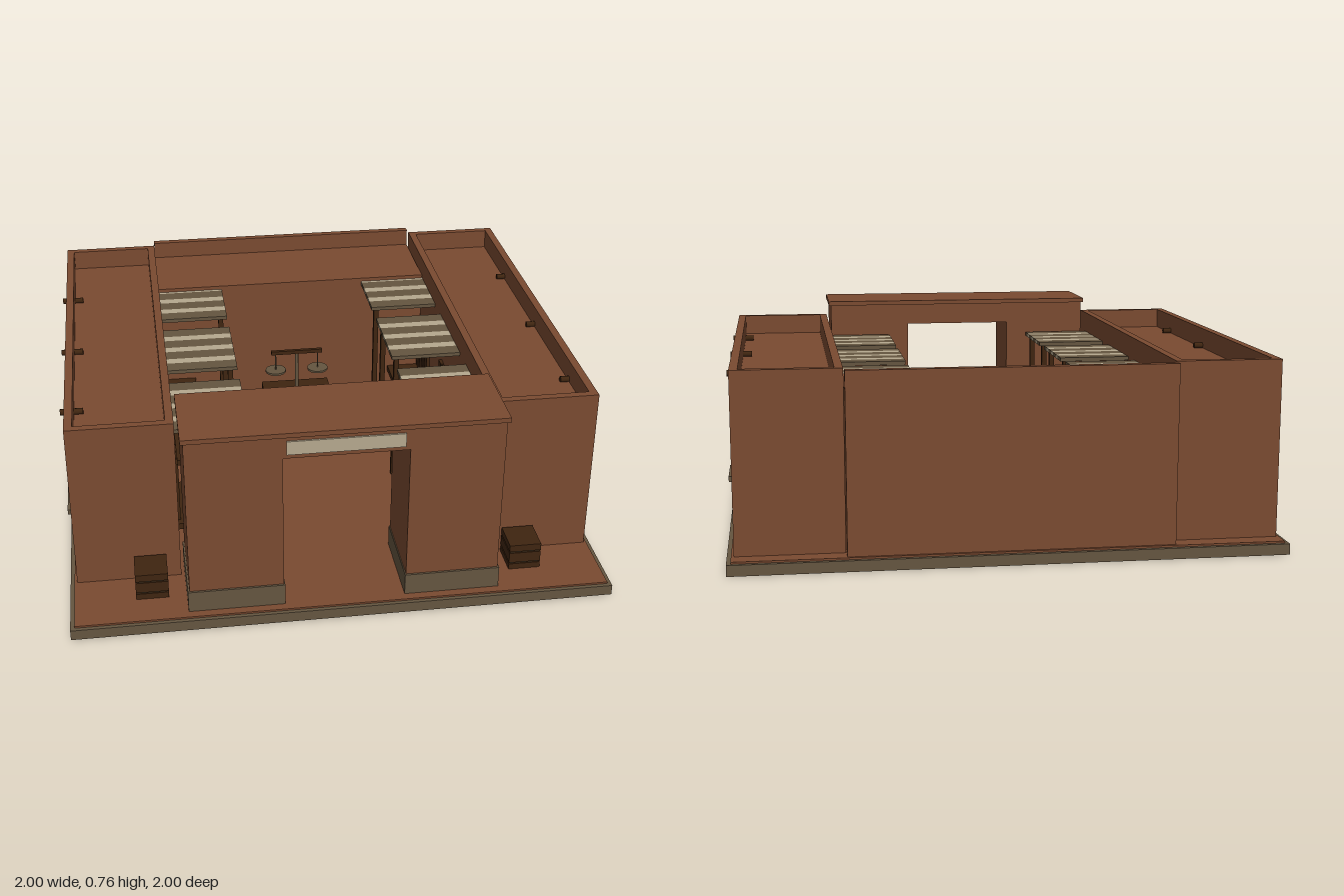
import * as THREE from 'three';

const mat = (name, color) => {
  const m = new THREE.MeshStandardMaterial({ color });
  m.name = name;
  return m;
};

export function createModel() {
  const clay = mat('clay', 0x7a4a30);
  const stone = mat('stone', 0x645540);
  const linen = mat('linen', 0xb5a88e);
  const wood = mat('darkWood', 0x3f2510);
  const root = new THREE.Group();
  root.name = 'marketCourtyard';

  const group = (name, parent = root) => {
    const g = new THREE.Group();
    g.name = name;
    parent.add(g);
    return g;
  };
  // Box given by its minimum and maximum on each axis
  const box = (parent, name, m, x0, x1, y0, y1, z0, z1) => {
    const mesh = new THREE.Mesh(new THREE.BoxGeometry(x1 - x0, y1 - y0, z1 - z0), m);
    mesh.position.set((x0 + x1) / 2, (y0 + y1) / 2, (z0 + z1) / 2);
    mesh.name = name;
    parent.add(mesh);
    return mesh;
  };
  const rod = (parent, name, m, r, len, x, y, z, sides = 8) => {
    const mesh = new THREE.Mesh(new THREE.CylinderGeometry(r, r, len, sides), m);
    mesh.position.set(x, y, z);
    mesh.name = name;
    parent.add(mesh);
    return mesh;
  };
  // Box on the +x side, or mirrored to the -x side
  const sided = (s) => (parent, name, m, x0, x1, ...rest) =>
    s > 0 ? box(parent, name, m, x0, x1, ...rest) : box(parent, name, m, -x1, -x0, ...rest);

  // Ground
  box(root, 'foundation', stone, -1, 1, 0, 0.04, -1, 1);
  box(root, 'groundFloor', clay, -0.985, 0.985, 0.04, 0.047, -0.985, 0.985);

  // Back building with one rear parapet
  const back = group('backBuilding');
  box(back, 'backBlock', clay, -0.585, 0.585, 0.047, 0.63, -0.975, -0.59);
  box(back, 'backParapet', clay, -0.585, 0.585, 0.63, 0.7, -0.975, -0.945);

  for (const s of [1, -1]) {
    const b = sided(s);
    const side = s > 0 ? 'left' : 'right';

    // Long wing with a sunken roof
    const wing = group(side + 'Wing');
    b(wing, 'wingBody', clay, 0.587, 0.975, 0.047, 0.62, -0.92, 0.72);
    b(wing, 'outerParapet', clay, 0.945, 0.975, 0.62, 0.7, -0.92, 0.72);
    b(wing, 'innerParapet', clay, 0.587, 0.617, 0.62, 0.7, -0.92, 0.72);
    b(wing, 'rearParapet', clay, 0.617, 0.945, 0.62, 0.7, -0.92, -0.89);
    b(wing, 'frontParapet', clay, 0.617, 0.945, 0.62, 0.7, 0.69, 0.72);

    // Barred windows, sills and roof beam ends
    for (const z of [-0.525, -0.035, 0.455]) {
      const win = group('window', wing);
      b(win, 'windowPanel', wood, 0.97, 0.977, 0.262, 0.447, z - 0.085, z + 0.085);
      for (let i = 0; i < 4; i++) {
        const bz = z - 0.051 + i * 0.034;
        b(win, 'windowBar', stone, 0.975, 0.981, 0.275, 0.435, bz - 0.004, bz + 0.004);
      }
      b(win, 'windowSill', stone, 0.965, 0.995, 0.245, 0.265, z - 0.1, z + 0.1);
      rod(wing, 'beamEnd', wood, 0.012, 0.085, s * 0.9525, 0.63, z).rotation.z = Math.PI / 2;
    }

    // Market stalls along the courtyard wall
    for (const z of [-0.495, -0.03, 0.435]) {
      const stall = group('stall');
      for (let i = 0; i < 7; i++) {
        const light = i % 2 === 1;
        const h = light ? 0.019 : 0.031;
        const c = z + (i - 3) * 0.05;
        b(stall, 'awningStripe', light ? linen : stone, 0.31, 0.587, 0.6, 0.615, c - h, c + h);
      }
      for (const dz of [-0.145, 0.145])
        b(stall, 'awningPost', wood, 0.325, 0.345, 0.047, 0.6, z + dz - 0.01, z + dz + 0.01);
      b(stall, 'counterTop', wood, 0.44, 0.587, 0.16, 0.185, z - 0.15, z + 0.15);
      for (const dz of [-0.13, 0.13])
        b(stall, 'counterLeg', wood, 0.45, 0.47, 0.047, 0.16, z + dz - 0.01, z + dz + 0.01);
      // Planked board against the wall
      for (let i = 0; i < 5; i++) {
        const c = z + (i - 2) * 0.05;
        b(stall, 'wallPlank', wood, 0.574, 0.59, 0.185, 0.43, c - 0.021, c + 0.021);
      }
    }

    // Gate pier with stone plinth
    b(root, side + 'GatePier', clay, 0.225, 0.568, 0.047, 0.66, 0.63, 0.945);
    b(root, side + 'GatePlinth', stone, 0.221, 0.574, 0.047, 0.13, 0.625, 0.953);

    // Slatted crate beside the gate
    const crate = group(side + 'Crate');
    b(crate, 'crateCore', stone, 0.646, 0.754, 0.047, 0.145, 0.736, 0.849);
    for (const [y0, y1] of [[0.047, 0.07], [0.076, 0.118], [0.124, 0.152]])
      b(crate, 'crateSlat', wood, 0.64, 0.76, y0, y1, 0.73, 0.855);
  }

  // Gate lintel, cap and blank sign board
  const gate = group('gateTop');
  box(gate, 'gateLintel', clay, -0.568, 0.568, 0.66, 0.747, 0.63, 0.945);
  box(gate, 'gateCap', clay, -0.578, 0.578, 0.747, 0.765, 0.62, 0.955);
  box(gate, 'signBoard', linen, -0.212, 0.208, 0.677, 0.73, 0.943, 0.952);

  // Central table
  const table = group('table');
  box(table, 'tableTop', wood, -0.148, 0.148, 0.16, 0.185, -0.51, -0.35);
  for (const x of [-0.127, 0.127])
    for (const z of [-0.49, -0.37])
      box(table, 'tableLeg', wood, x - 0.011, x + 0.011, 0.047, 0.16, z - 0.011, z + 0.011);

  // Balance scale on the table
  const scale = group('balanceScale');
  rod(scale, 'scalePost', stone, 0.008, 0.18, 0, 0.275, -0.43);
  box(scale, 'scaleBeam', wood, -0.112, 0.112, 0.36, 0.376, -0.438, -0.422);
  for (const x of [-0.093, 0.093]) {
    rod(scale, 'panHanger', stone, 0.003, 0.08, x, 0.322, -0.43, 6);
    rod(scale, 'scalePan', stone, 0.045, 0.009, x, 0.281, -0.43, 16);
  }
  return root;
}
